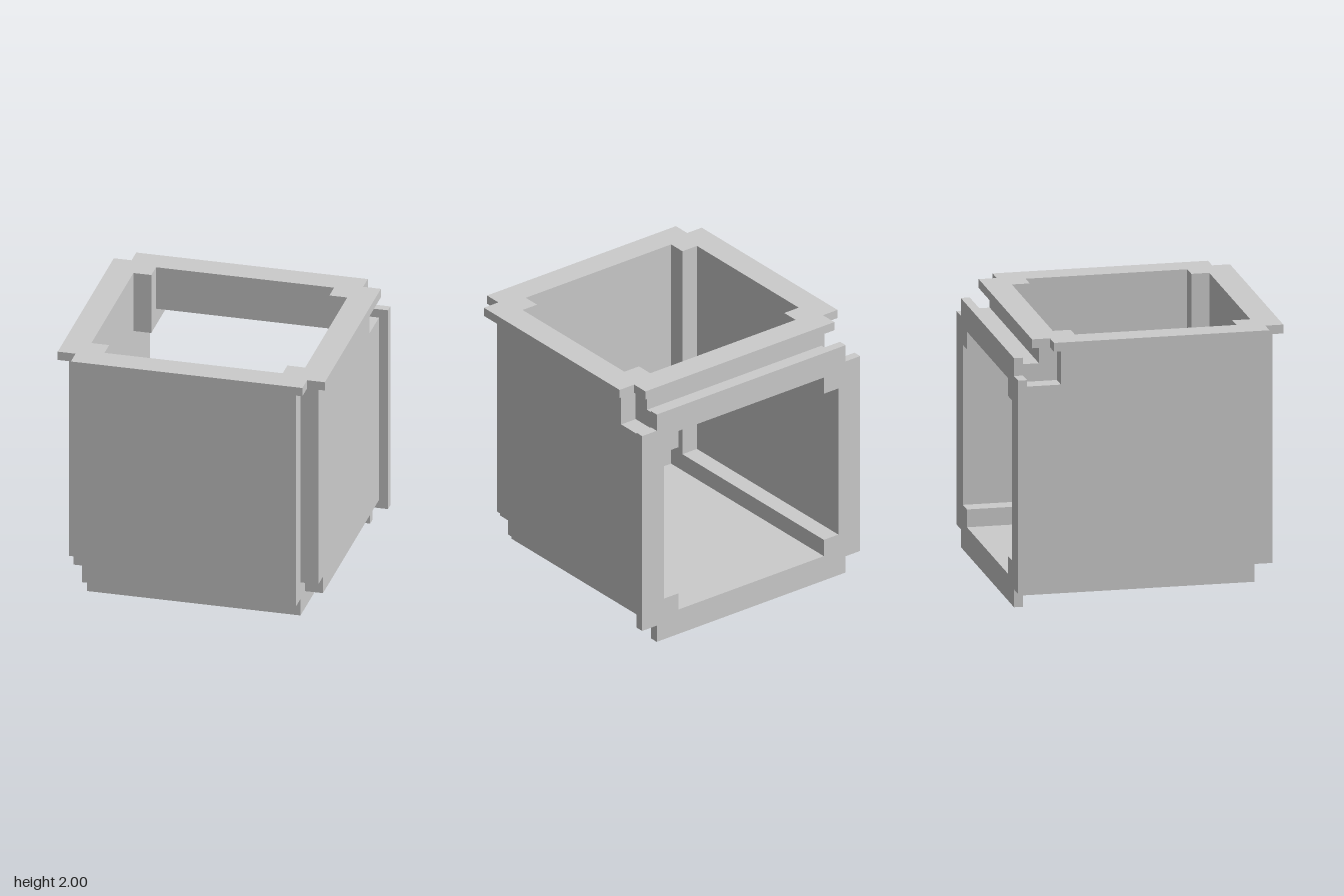
import * as THREE from 'three';

const U = 1 / 15; // module size; all part dimensions below are in modules
const material = new THREE.MeshStandardMaterial({ color: 0xcccccc, flatShading: true });

function addMesh(group, name, geometry) {
  geometry.scale(U, U, U);
  const mesh = new THREE.Mesh(geometry, material);
  mesh.name = name;
  group.add(mesh);
}

// Box given by its low and high corners
function block([x0, y0, z0], [x1, y1, z1]) {
  return new THREE.BoxGeometry(x1 - x0, y1 - y0, z1 - z0)
    .translate((x0 + x1) / 2, (y0 + y1) / 2, (z0 + z1) / 2);
}

// Side profile of [z, y] points, extruded along x from x0 to x1
function slab(points, x0, x1) {
  const shape = new THREE.Shape(points.map(([z, y]) => new THREE.Vector2(z, y)));
  return new THREE.ExtrudeGeometry(shape, { depth: x1 - x0, bevelEnabled: false })
    .rotateY(-Math.PI / 2).translate(x1, 0, 0);
}

// Corner points of a rectangle with a square notch cut from each corner
function notched(w, h, n) {
  return [
    [w - n, -h], [w - n, n - h], [w, n - h], [w, h - n], [w - n, h - n], [w - n, h],
    [n - w, h], [n - w, h - n], [-w, h - n], [-w, n - h], [n - w, n - h], [n - w, -h],
  ].map(([x, y]) => new THREE.Vector2(x, y));
}

// Flat rim with a notched outline and a notched opening
function rim() {
  const shape = new THREE.Shape(notched(15, 14, 2));
  shape.holes.push(new THREE.Path(notched(12, 11, 2)));
  return new THREE.ExtrudeGeometry(shape, { depth: 1, bevelEnabled: false });
}

export function createModel() {
  const group = new THREE.Group();
  group.name = 'openCube';

  // Rims around the top and back openings
  addMesh(group, 'topRim', rim().rotateX(-Math.PI / 2).translate(0, 29, 1));
  addMesh(group, 'backRim', rim().translate(0, 14, -15));

  // Closed faces
  addMesh(group, 'frontWall', block([-12, 3, 12], [12, 29, 14]));
  addMesh(group, 'floor', block([-12, 1, -14], [12, 3, 12]));

  // Stepped bar between the two openings
  addMesh(group, 'backBar', slab(
    [[-14, 25], [-10, 25], [-10, 29], [-12, 29], [-12, 27], [-14, 27]], -10, 10));

  // Side walls with the corner fillers inside them
  const wall = [[-14, 3], [10, 3], [10, 5], [12, 5], [12, 29], [-10, 29], [-10, 25], [-14, 25]];
  const gusset = [[-14, 23], [-8, 23], [-8, 29], [-12, 29], [-12, 27], [-14, 27]];
  const ledgeAndPost = [[-14, 3], [12, 3], [12, 29], [10, 29], [10, 5], [-14, 5]];
  for (const [side, s] of [['left', 1], ['right', -1]]) {
    const span = (a, b) => (s > 0 ? [a, b] : [-b, -a]);
    addMesh(group, side + 'Wall', slab(wall, ...span(12, 14)));
    addMesh(group, side + 'LedgeAndPost', slab(ledgeAndPost, ...span(10, 12)));
    addMesh(group, side + 'Gusset', slab(gusset, ...span(10, 12)));
  }
  return group;
}
